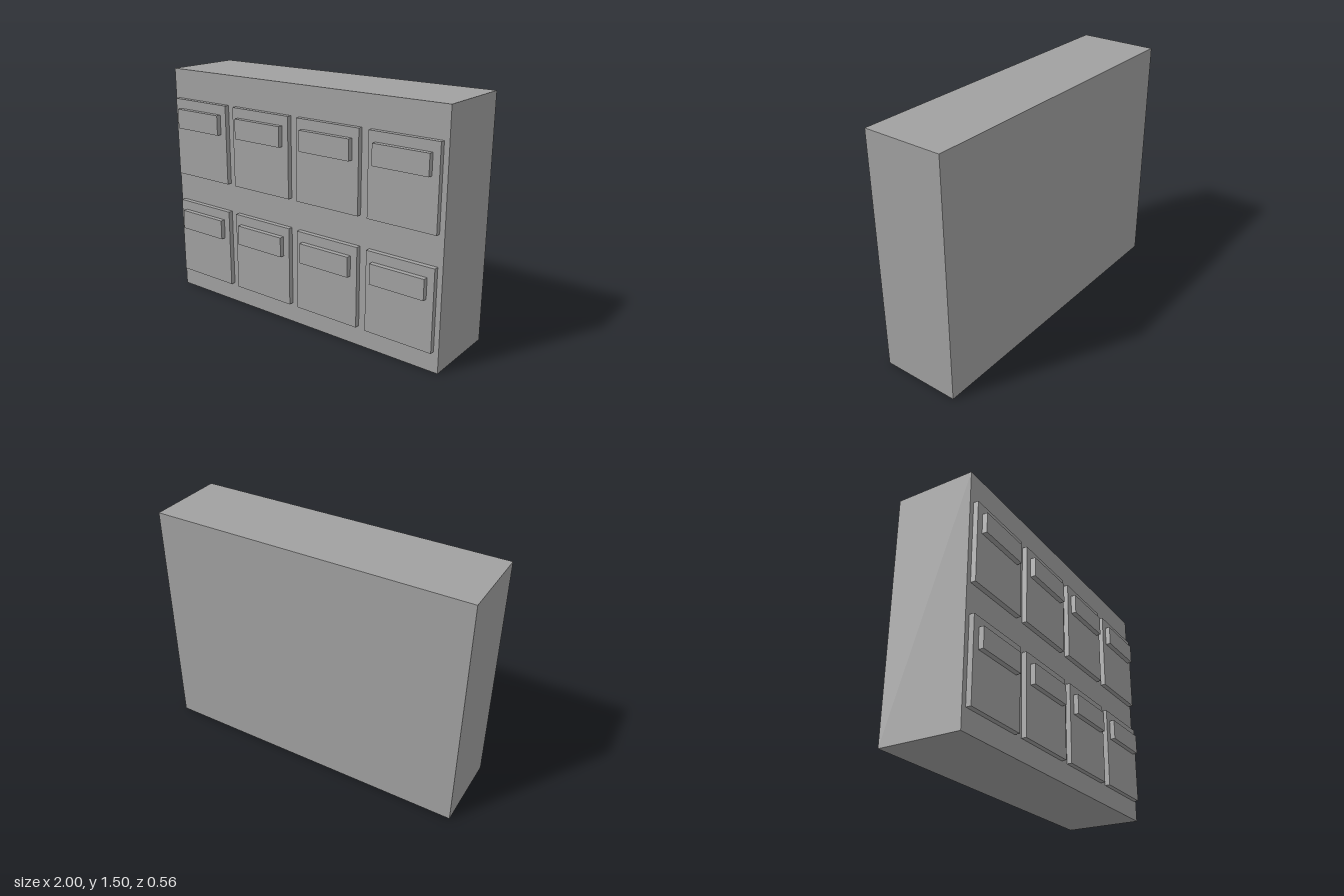
import * as THREE from 'three';

export function createModel() {
  const group = new THREE.Group();
  const grey = new THREE.MeshStandardMaterial({ color: 0xa0a0a0 });
  grey.name = 'grey';

  // Box with its back face at the given z
  const addBox = (name, w, h, d, x, y, backZ) => {
    const mesh = new THREE.Mesh(new THREE.BoxGeometry(w, h, d), grey);
    mesh.name = name;
    mesh.position.set(x, y, backZ + d / 2);
    group.add(mesh);
  };

  // Cabinet body
  addBox('cabinetBody', 2, 1.5, 0.5, 0, 0.75, -0.281);

  // Two rows of four door panels, each with a raised plate near its top
  for (const y of [0.377, 1.063]) {
    for (let i = 0; i < 4; i++) {
      const x = -0.75 + i * 0.5;
      addBox('doorPanel', 0.4375, 0.5, 0.031, x, y, 0.219);
      addBox('doorPlate', 0.35, 0.125, 0.031, x, y + 0.127, 0.25);
    }
  }
  return group;
}
